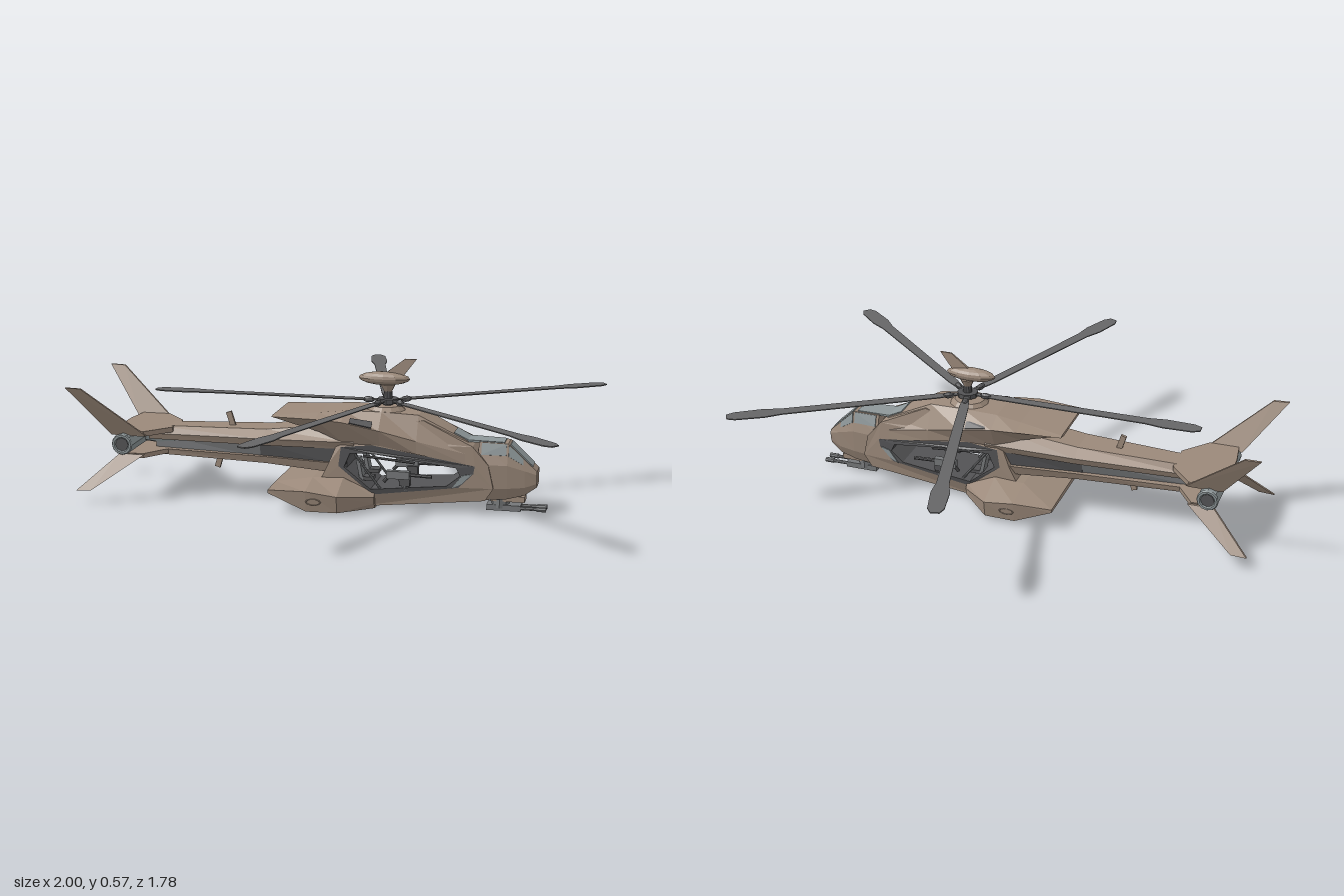
import * as THREE from 'three';
import { ConvexGeometry } from 'three/addons/geometries/ConvexGeometry.js';

const mat = (name, color) => Object.assign(new THREE.MeshStandardMaterial({ color, flatShading: true }), { name });
const V = (p) => new THREE.Vector3(...p);

// Piecewise-linear lookup through [key, value] pairs
function ramp(pairs, t) {
  if (t <= pairs[0][0]) return pairs[0][1];
  for (let i = 1; i < pairs.length; i++) {
    const [a, va] = pairs[i - 1], [b, vb] = pairs[i];
    if (t <= b) return va + (vb - va) * (t - a) / (b - a);
  }
  return pairs[pairs.length - 1][1];
}

// Cabin half width by position on the side profile
const halfWidth = (x, y) => ramp([[0.01, 0.085], [0.09, 0.108], [0.25, 0.11], [0.385, 0.07]], y)
  * ramp([[0.28, 1], [0.62, 0.68]], x);

// Section [x, [y, halfWidth], ...] mirrored into a closed ring
function ringOf([x, ...half]) {
  return [...half.map(([y, z]) => V([x, y, z])), ...half.slice().reverse().map(([y, z]) => V([x, y, -z]))];
}

// Skin over sections ordered by increasing x
function loft(sections) {
  const rings = sections.map(ringOf), n = rings[0].length, pos = [];
  const tri = (...ps) => ps.forEach((p) => pos.push(p.x, p.y, p.z));
  for (let s = 0; s < rings.length - 1; s++) {
    for (let i = 0; i < n; i++) {
      const a = rings[s][i], b = rings[s][(i + 1) % n], c = rings[s + 1][i], d = rings[s + 1][(i + 1) % n];
      tri(a, c, b);
      tri(c, d, b);
    }
  }
  const end = rings[rings.length - 1];
  for (let k = 1; k < n - 1; k++) {
    tri(rings[0][0], rings[0][k], rings[0][k + 1]);
    tri(end[0], end[k + 1], end[k]);
  }
  const g = new THREE.BufferGeometry();
  g.setAttribute('position', new THREE.Float32BufferAttribute(pos, 3));
  g.computeVertexNormals();
  return g;
}

// Thin plate lying on facet i between sections s and s+1 of a loft
function facetPlate(sections, s, i, u0, u1, v0, v1) {
  const A = ringOf(sections[s]), B = ringOf(sections[s + 1]), j = (i + 1) % A.length;
  const at = (u, v) => A[i].clone().lerp(B[i], u).lerp(A[j].clone().lerp(B[j], u), v);
  const c = [at(u0, v0), at(u1, v0), at(u1, v1), at(u0, v1)];
  const n = c[1].clone().sub(c[0]).cross(c[3].clone().sub(c[0])).normalize().multiplyScalar(0.004);
  return new ConvexGeometry([...c.map((p) => p.clone().add(n)), ...c.map((p) => p.clone().sub(n))]);
}

const convex = (pts) => new ConvexGeometry(pts.map(V));
const prism = (xz, y0, y1) => convex(xz.flatMap(([x, z]) => [[x, y0, z], [x, y1, z], [x, y0, -z], [x, y1, -z]]));

// Side profile (counter-clockwise) with a clockwise hole, pulled across the fuselage width
function sideProfile(outer, hole) {
  const toV2 = (a) => a.map(([x, y]) => new THREE.Vector2(x, y));
  const shape = new THREE.Shape(toV2(outer));
  shape.holes.push(new THREE.Path(toV2(hole)));
  const g = new THREE.ExtrudeGeometry(shape, { depth: 1, bevelEnabled: false });
  const p = g.attributes.position;
  for (let i = 0; i < p.count; i++) p.setZ(i, (p.getZ(i) * 2 - 1) * halfWidth(p.getX(i), p.getY(i)));
  g.computeVertexNormals();
  return g;
}

export function createModel() {
  const paint = mat('sandPaint', 0x9b897a), dark = mat('darkGrey', 0x545456), blade = mat('bladeGrey', 0x666667);
  const glass = mat('canopyGlass', 0x8d9698), metal = mat('metalGrey', 0x76787a);
  const model = new THREE.Group();
  model.name = 'helicopter';
  const body = new THREE.Group();
  body.name = 'body';
  body.position.z = 0.013;
  model.add(body);
  const add = (name, geo, m, pos = [0, 0, 0], rot = [0, 0, 0], parent = body) => {
    const mesh = new THREE.Mesh(geo, m);
    mesh.name = name;
    mesh.position.set(...pos);
    mesh.rotation.set(...rot);
    parent.add(mesh);
    return mesh;
  };
  const rod = (name, a, b, r, m) => {
    const d = V(b).sub(V(a)), mesh = add(name, new THREE.CylinderGeometry(r, r, d.length(), 8), m);
    mesh.position.copy(V(a).addScaledVector(d, 0.5));
    mesh.quaternion.setFromUnitVectors(V([0, 1, 0]), d.normalize());
  };
  const box = (name, size, pos, m, rot) => add(name, new THREE.BoxGeometry(...size), m, pos, rot);

  // Cabin with an opening right through, lined by a dark frame
  const door = [[0.05, 0.25], [0.17, 0.262], [0.56, 0.195], [0.555, 0.165], [0.5, 0.11], [0.17, 0.068], [0.04, 0.175]];
  const opening = [[0.085, 0.226], [0.17, 0.23], [0.49, 0.186], [0.505, 0.155], [0.455, 0.115], [0.165, 0.09], [0.062, 0.172]];
  add('cabin', sideProfile([[-0.06, 0.008], [0.12, 0.015], [0.6, 0.06], [0.63, 0.11], [0.61, 0.2], [0.55, 0.27],
    [0.36, 0.36], [0.05, 0.3], [0.0, 0.18], [-0.04, 0.1]], door), paint);
  add('doorFrame', sideProfile(door.slice().reverse(), opening), dark);

  // Nose and canopy
  const nose = [
    [0.5, [0.05, 0.055], [0.1, 0.078], [0.2, 0.082], [0.285, 0.05]],
    [0.68, [0.065, 0.042], [0.11, 0.06], [0.2, 0.064], [0.28, 0.042]],
    [0.745, [0.082, 0.036], [0.115, 0.05], [0.18, 0.052], [0.219, 0.04]],
    [0.79, [0.115, 0.03], [0.13, 0.038], [0.165, 0.042], [0.177, 0.037]],
  ];
  add('nose', loft(nose.map((s, i) => (i ? s : [0.57, [0.057, 0.05], [0.105, 0.07], [0.2, 0.074], [0.283, 0.047]]))), paint);
  add('roofGlass', facetPlate(nose, 0, 3, 0.1, 0.92, 0.06, 0.94), glass);
  add('windscreen', facetPlate(nose, 1, 3, 0.1, 1, 0.08, 0.92), glass);
  add('lowerWindscreen', facetPlate(nose, 2, 3, 0, 0.6, 0.08, 0.92), glass);
  for (const i of [2, 4]) {
    const [v0, v1] = i === 2 ? [0.45, 0.97] : [0.03, 0.55];
    add('sideGlass', facetPlate(nose, 0, i, 0.45, 0.97, v0, v1), glass);
    add('frontSideGlass', facetPlate(nose, 1, i, 0.05, 0.9, v0, v1), glass);
  }

  // Engine cowling with overhanging shoulders
  const cowl = [
    [-0.215, [0.352, 0.1], [0.36, 0.135], [0.364, 0.12]],
    [-0.04, [0.3, 0.09], [0.362, 0.155], [0.376, 0.09]],
    [0.06, [0.265, 0.108], [0.355, 0.152], [0.386, 0.08]],
    [0.2, [0.262, 0.108], [0.325, 0.135], [0.386, 0.075]],
    [0.34, [0.235, 0.102], [0.285, 0.105], [0.378, 0.062]],
    [0.53, [0.2, 0.082], [0.24, 0.08], [0.283, 0.048]],
  ];
  add('engineCowling', loft(cowl), paint);
  add('rearRoofGlass', facetPlate(cowl, 4, 2, 0.7, 1, 0.06, 0.94), glass);
  add('rightIntake', facetPlate(cowl, 2, 3, 0.2, 0.8, 0.6, 0.95), dark);
  add('leftIntake', facetPlate(cowl, 2, 1, 0.2, 0.8, 0.05, 0.4), dark);

  // Side sponsons joined under the belly
  add('sponsons', loft([
    [-0.21, [0.08, 0.1], [0.083, 0.222], [0.095, 0.222], [0.098, 0.1]],
    [-0.06, [0.005, 0.11], [0.02, 0.225], [0.1, 0.236], [0.125, 0.11]],
    [0.06, [0.006, 0.11], [0.02, 0.222], [0.085, 0.234], [0.13, 0.11]],
    [0.18, [0.012, 0.09], [0.035, 0.112], [0.06, 0.114], [0.075, 0.1]],
  ]), paint);

  // Tail boom: upper spine, recessed core and lower rail
  add('boomSpine', loft([
    [-0.74, [0.226, 0.046], [0.25, 0.055], [0.28, 0.04]],
    [-0.26, [0.234, 0.088], [0.262, 0.1], [0.292, 0.06]],
    [0.1, [0.24, 0.1], [0.27, 0.115], [0.335, 0.07]],
  ]), paint);
  add('boomCore', loft([
    [-0.28, [0.178, 0.06], [0.242, 0.074]],
    [0.07, [0.165, 0.09], [0.255, 0.1]],
  ]), dark);
  add('boomRearCore', loft([
    [-0.72, [0.185, 0.02], [0.24, 0.02]],
    [-0.28, [0.178, 0.058], [0.242, 0.072]],
  ]), metal);
  add('boomRail', loft([
    [-0.76, [0.168, 0.04], [0.19, 0.045]],
    [-0.26, [0.16, 0.07], [0.188, 0.08]],
    [0.06, [0.14, 0.09], [0.182, 0.104]],
  ]), paint);
  box('upperAntenna', [0.022, 0.06, 0.012], [-0.415, 0.312, 0], paint, [0, 0, 0.3]);
  box('lowerAntenna', [0.022, 0.055, 0.012], [-0.465, 0.143, 0], paint, [0, 0, -0.3]);

  // Tail planes, cross fan housing and splayed fins
  add('upperTailPlane', prism([[-0.85, 0.06], [-0.835, 0.165], [-0.72, 0.165], [-0.635, 0.065]], 0.262, 0.282), paint);
  add('lowerTailPlane', prism([[-0.8, 0.06], [-0.81, 0.15], [-0.73, 0.15], [-0.66, 0.05]], 0.172, 0.19), paint);
  rod('fanHousing', [-0.8, 0.233, -0.19], [-0.8, 0.233, 0.19], 0.042, glass);
  rod('fanStrut', [-0.8, 0.24, 0], [-0.64, 0.225, 0], 0.03, glass);
  for (const s of [1, -1]) {
    add('fanRim', new THREE.TorusGeometry(0.034, 0.008, 6, 12), glass, [-0.8, 0.233, s * 0.19]);
    rod('fanFace', [-0.8, 0.233, s * 0.185], [-0.8, 0.233, s * 0.193], 0.026, dark);
    const fin = (name, base, tip, t) => add(name, convex([...base, ...tip].flatMap(([x, y, z]) =>
      [[x, y, s * (z - t)], [x, y, s * (z + t)]])), paint);
    fin('upperFin', [[-0.85, 0.265, 0.163], [-0.71, 0.265, 0.163]], [[-1, 0.46, 0.252], [-0.94, 0.458, 0.25]], 0.005);
    fin('lowerFin', [[-0.82, 0.19, 0.163], [-0.72, 0.19, 0.163]], [[-0.97, 0.055, 0.25], [-0.91, 0.058, 0.25]], 0.005);
    add('sponsonPort', new THREE.TorusGeometry(0.02, 0.002, 4, 10), paint, [-0.03, 0.06, s * 0.231]).scale.set(1.4, 0.6, 1);

    // Small window in the front corner of the door frame
    add('doorGlass', convex([[0.475, 0.108], [0.512, 0.126], [0.55, 0.165], [0.513, 0.158]].flatMap(([x, y]) =>
      [-0.004, 0.004].map((t) => [x, y, s * (halfWidth(x, y) + t)]))), glass);

    // Cabin fittings: seat, pintle gun, ammunition box and stays
    box('seat', [0.05, 0.014, 0.05], [0.145, 0.125, s * 0.06], dark);
    box('seatBack', [0.014, 0.085, 0.05], [0.118, 0.16, s * 0.06], metal, [0, 0, 0.2]);
    rod('gunPost', [0.3, 0.09, s * 0.09], [0.27, 0.145, s * 0.09], 0.009, metal);
    box('gunBody', [0.09, 0.03, 0.024], [0.27, 0.15, s * 0.095], metal);
    box('ammunitionBox', [0.04, 0.035, 0.03], [0.295, 0.125, s * 0.085], dark);
    rod('gunBarrel', [0.3, 0.152, s * 0.095], [0.4, 0.15, s * 0.1], 0.007, dark);
    rod('gunGrip', [0.24, 0.15, s * 0.095], [0.215, 0.12, s * 0.095], 0.007, dark);
    rod('cabinStay', [0.1, 0.22, s * 0.09], [0.2, 0.09, s * 0.09], 0.005, metal);
    rod('ceilingRail', [0.13, 0.212, s * 0.08], [0.33, 0.195, s * 0.08], 0.005, dark);
  }

  // Chin turret with twin barrels
  box('turretMount', [0.13, 0.022, 0.06], [0.68, 0.062, 0], paint);
  rod('turret', [0.65, 0.025, 0], [0.65, 0.06, 0], 0.035, metal);
  box('gunBreech', [0.13, 0.022, 0.06], [0.665, 0.026, 0], metal);
  for (const z of [-0.02, 0.02]) {
    rod('chinBarrel', [0.7, 0.026, z], [0.82, 0.026, z], 0.007, metal);
    rod('muzzle', [0.79, 0.026, z], [0.826, 0.026, z], 0.01, metal);
  }

  // Rotor mast, hub and sensor pod
  const rotor = [0.21, 0, 0];
  add('pylonCap', new THREE.CylinderGeometry(0.06, 0.08, 0.02, 12), paint, [0.2, 0.39, 0]);
  add('mast', new THREE.CylinderGeometry(0.014, 0.02, 0.11, 10), dark, [0.21, 0.435, 0]);
  add('hub', new THREE.CylinderGeometry(0.04, 0.04, 0.018, 10), dark, [0.21, 0.417, 0]);
  add('podNeck', new THREE.CylinderGeometry(0.03, 0.012, 0.035, 10), paint, [0.21, 0.463, 0]);
  add('sensorPod', new THREE.SphereGeometry(1, 12, 8), paint, [0.195, 0.502, 0]).scale.set(0.1, 0.026, 0.033);
  add('podFin', convex([[0.19, 0.515, -0.006], [0.19, 0.515, 0.006], [0.27, 0.515, -0.006], [0.27, 0.515, 0.006],
    [0.275, 0.58, -0.003], [0.275, 0.58, 0.003], [0.32, 0.58, -0.003], [0.32, 0.58, 0.003]]), paint);

  // Five paddle-tipped blades
  const edge = [[0.04, 0.01], [0.12, 0.018], [0.72, 0.023], [0.79, 0.034], [0.9, 0.03], [0.93, 0.016]];
  const outline = [...edge.map(([x, y]) => [x, -y]), ...edge.slice().reverse()].map((p) => new THREE.Vector2(...p));
  const bladeGeo = new THREE.ExtrudeGeometry(new THREE.Shape(outline), { depth: 0.004, bevelEnabled: false });
  bladeGeo.rotateX(-Math.PI / 2);
  for (const deg of [180, 104, 32.3, -41.2, -111]) {
    const arm = new THREE.Group();
    arm.name = 'rotorBlade';
    arm.position.set(...rotor);
    arm.rotation.y = THREE.MathUtils.degToRad(deg);
    body.add(arm);
    add('blade', bladeGeo, blade, [0, 0.416, 0], [0, 0, 0], arm);
    add('bladeRoot', new THREE.SphereGeometry(0.012, 8, 6), dark, [0.075, 0.417, 0], [0, 0, 0], arm).scale.x = 2;
  }
  return model;
}
